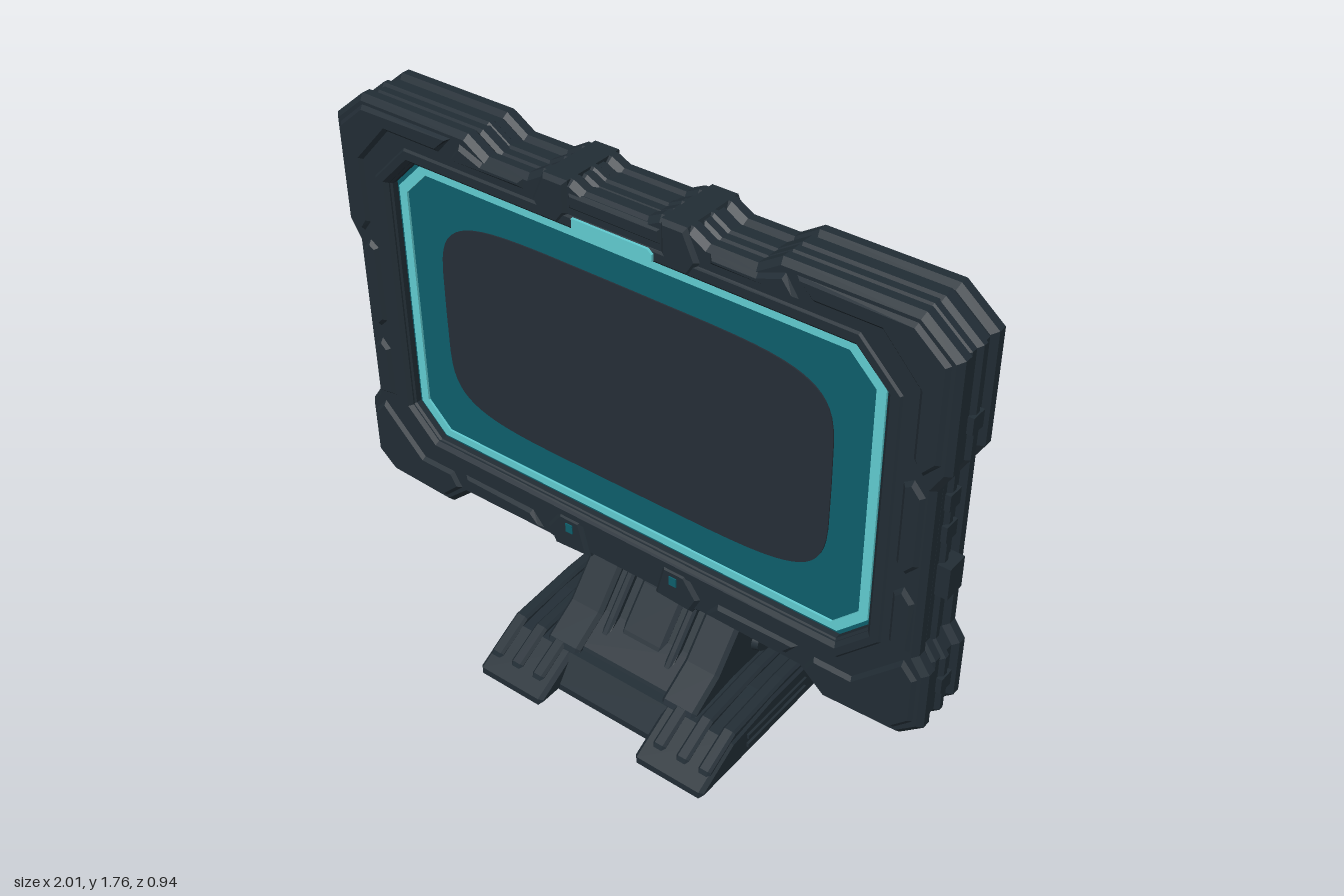
import * as THREE from 'three';

const mat = (name, color) => Object.assign(new THREE.MeshStandardMaterial({ color }), { name });

export function createModel() {
  const root = new THREE.Group();
  root.name = 'displayOnStand';
  const body = mat('darkSlate', 0x222d35);
  const glass = mat('screenGrey', 0x262e37);
  const teal = mat('deepTeal', 0x0e5f6c);
  const glow = mat('brightCyan', 0x62cdd2);

  const group = name => {
    const g = new THREE.Group();
    g.name = name;
    root.add(g);
    return g;
  };
  const add = (parent, name, geo, material = body) => {
    const m = new THREE.Mesh(geo, material);
    m.name = name;
    parent.add(m);
    return m;
  };
  const poly = pts => new THREE.Shape(pts.map(p => new THREE.Vector2(p[0], p[1])));
  const flip = pts => pts.map(([x, y]) => [-x, y]);
  const extrude = (shape, depth, bevel) => new THREE.ExtrudeGeometry(shape, {
    depth: depth - 2 * bevel, bevelEnabled: bevel > 0, bevelThickness: bevel,
    bevelSize: bevel, bevelOffset: -bevel, bevelSegments: 1,
  }).translate(0, 0, bevel);
  // Front-facing slab between two depths
  const slab = (shape, z0, z1, bevel = 0) => extrude(shape, z1 - z0, bevel).translate(0, 0, z0);
  // Side profile given as [z, y], spanning x0..x1
  const side = (pts, x0, x1, bevel = 0.012) => extrude(poly(pts), x1 - x0, bevel)
    .translate(0, 0, -(x1 - x0) / 2).rotateY(-Math.PI / 2).translate((x0 + x1) / 2, 0, 0);
  const box = (w, h, d, x, y, z) => new THREE.BoxGeometry(w, h, d).translate(x, y, z);
  // Chamfered rectangle around the screen centre
  const CY = 1.13;
  const chamfer = (w, h, c) => [[w, h - c], [w - c, h], [c - w, h], [-w, h - c],
    [-w, c - h], [c - w, -h], [w - c, -h], [w, c - h]].map(([x, y]) => [x, y + CY]);
  const ring = (outer, inner) => {
    const s = poly(outer);
    s.holes.push(poly(inner));
    return s;
  };

  // Screen, seen from both faces
  const screen = group('screen');
  add(screen, 'screenPanel', slab(poly(chamfer(0.83, 0.49, 0.1)), 0.105, 0.245), teal);
  add(screen, 'screenGlowBorder',
    slab(ring(chamfer(0.798, 0.46, 0.09), chamfer(0.77, 0.436, 0.08)), 0.098, 0.252), glow);
  const patch = [];
  for (let i = 0; i < 64; i++) {
    const a = i / 64 * Math.PI * 2, c = Math.cos(a), s = Math.sin(a);
    patch.push([0.66 * Math.sign(c) * Math.abs(c) ** 0.38, 1.135 + 0.335 * Math.sign(s) * Math.abs(s) ** 0.38]);
  }
  add(screen, 'screenCentre', slab(poly(patch), 0.101, 0.249), glass);

  // Frame: three stacked armour layers
  const frame = group('frame');
  const half = [[0.1, 1.725], [0.14, 1.745], [0.24, 1.745], [0.29, 1.715], [0.43, 1.715], [0.5, 1.76],
    [0.89, 1.76], [1, 1.67], [1, 1.34], [0.965, 1.28], [0.965, 0.74], [1, 0.69], [1, 0.5],
    [0.93, 0.44], [0.69, 0.43], [0.61, 0.5], [0.28, 0.505], [0.22, 0.49], [0.12, 0.51]];
  const outline = half.concat(flip(half).reverse());
  const opening = chamfer(0.81, 0.472, 0.095);
  const shrink = k => outline.map(([x, y]) => [x * k, CY + (y - CY) * k]);
  [[0.07, 0.128, 1], [0.12, 0.23, 0.988], [0.222, 0.28, 1]].forEach(([a, b, k]) =>
    add(frame, 'frameLayer', slab(ring(shrink(k), opening), a, b, 0.016)));
  add(frame, 'frameSpine', slab(ring(outline, opening), 0.155, 0.195, 0.012));
  add(frame, 'innerLip',
    slab(ring(chamfer(0.865, 0.525, 0.13), chamfer(0.815, 0.476, 0.095)), 0.064, 0.286, 0.012));

  // Raised plates on both faces of the frame, mirrored left and right
  const plates = {
    upperCorner: [[0.55, 1.735], [0.88, 1.735], [0.975, 1.655], [0.975, 1.37], [0.93, 1.32], [0.9, 1.36], [0.9, 1.56], [0.79, 1.68], [0.6, 1.68]],
    lowerCorner: [[0.975, 0.67], [0.975, 0.52], [0.92, 0.465], [0.7, 0.455], [0.63, 0.52], [0.66, 0.57], [0.78, 0.57], [0.9, 0.69], [0.93, 0.72]],
    sideStrip: [[0.945, 1.26], [0.945, 1.04], [0.91, 1.0], [0.88, 1.03], [0.88, 1.28], [0.91, 1.3]],
    lowerSideStrip: [[0.945, 0.75], [0.945, 0.92], [0.91, 0.96], [0.88, 0.93], [0.88, 0.76]],
    topStrip: [[0.3, 1.7], [0.44, 1.7], [0.52, 1.73], [0.56, 1.67], [0.3, 1.67]],
    topClamp: [[0.15, 1.745], [0.23, 1.745], [0.27, 1.66], [0.24, 1.61], [0.18, 1.61], [0.15, 1.65]],
    bottomStrip: [[0.3, 0.53], [0.57, 0.53], [0.61, 0.58], [0.34, 0.58]],
    bottomClamp: [[0.12, 0.51], [0.25, 0.5], [0.28, 0.56], [0.23, 0.63], [0.15, 0.63]],
  };
  for (const [name, pts] of Object.entries(plates))
    for (const p of [pts, flip(pts)]) add(frame, name, slab(poly(p), 0.059, 0.291, 0.012));
  for (const s of [-1, 1]) {
    add(frame, 'sideTab', box(0.05, 0.1, 0.07, s * 0.967, 0.95, 0.165));
    for (const y of [0.6, 1.1, 1.2, 1.45]) add(frame, 'sideRib', box(0.03, 0.05, 0.05, s * (y > 1 && y < 1.3 ? 0.955 : 0.99), y, 0.175));
    for (const z of [0.058, 0.292]) add(frame, 'statusDot', box(0.025, 0.03, 0.005, s * 0.19, 0.59, z), teal);
  }
  add(frame, 'topBridge', slab(poly([[-0.15, 1.715], [0.15, 1.715], [0.15, 1.665], [-0.15, 1.665]]), 0.064, 0.286, 0.01));
  const light = [[-0.13, 1.65], [0.115, 1.65], [0.13, 1.638], [0.13, 1.618], [-0.115, 1.612], [-0.13, 1.62]];
  for (const z of [0.056, 0.286]) add(frame, 'topLight', slab(poly(light), z, z + 0.008), glow);

  // Base
  const base = group('base');
  const wedge = [[0.47, 0.006], [0.47, 0.03], [0.32, 0.115], [0.12, 0.14], [-0.2, 0.14], [-0.28, 0.1], [-0.28, 0.006]];
  add(base, 'baseCentre', side(wedge.map(([z, y]) => [z > 0.4 ? z - 0.09 : z, y]), -0.2, 0.2));
  for (let i = -8; i <= 8; i++) add(base, 'undersideSlat', box(0.03, 0.012, 0.62, i * 0.048, 0.006, 0.05));
  for (const s of [-1, 1]) {
    const span = (a, b) => s > 0 ? [a, b] : [-b, -a];
    add(base, 'baseFoot', side(wedge, ...span(0.18, 0.43)));
    // Long ridges down each foot
    for (const x of [0.235, 0.32, 0.4])
      add(base, 'footRidge', side([[0.44, 0.02], [0.42, 0.07], [0.3, 0.135], [0.05, 0.155], [-0.1, 0.155], [-0.1, 0.05]], ...span(x - 0.022, x + 0.022), 0.008));
    for (const y of [0.05, 0.085])
      add(base, 'sideGroove', box(0.015, 0.015, 0.3, s * 0.43, y, 0.1));
    // Hinge rod ends
    for (const [r, x0, x1] of [[0.063, 0.36, 0.48], [0.05, 0.47, 0.495], [0.03, 0.49, 0.5]])
      add(base, 'hingeEnd', new THREE.CylinderGeometry(r, r, x1 - x0, 24).rotateZ(Math.PI / 2)
        .translate(s * (x0 + x1) / 2, 0.072, -0.172));
    add(base, 'hingeBlock', box(0.06, 0.1, 0.16, s * 0.4, 0.085, -0.2));
    // Oval pivot caps beside the column
    for (const [k, x] of [[1, 0.29], [0.6, 0.302]])
      add(base, 'pivotCap', new THREE.CylinderGeometry(0.05 * k, 0.056 * k, 0.03, 28).scale(1, 1, 1.7)
        .rotateZ(-s * Math.PI / 2).translate(s * x, 0.2, -0.06));
  }
  add(base, 'hingeRod', new THREE.CylinderGeometry(0.055, 0.055, 0.8, 24).rotateZ(Math.PI / 2).translate(0, 0.072, -0.225));

  // Column: flared side walls, recessed spine and trim
  const column = group('column');
  const flare = [[0.33, 0.09], [0.31, 0.13], [0.2, 0.2], [0.1, 0.32], [0.07, 0.37], [0.06, 0.52], [-0.16, 0.52],
    [-0.15, 0.31], [-0.26, 0.18], [-0.26, 0.09]];
  const arm = [[0.06, 0.48], [0.035, 0.65], [-0.04, 0.78], [-0.09, 0.9], [-0.31, 0.9], [-0.27, 0.78],
    [-0.2, 0.68], [-0.165, 0.58], [-0.16, 0.48]];
  const inset = (pts, d) => pts.map(([z, y]) => [z > -0.06 ? z - d : z + d, y]);
  add(column, 'columnCore', side(inset(flare, 0.025), -0.2, 0.2));
  add(column, 'neckSpine', side(inset(arm, 0.03), -0.18, 0.18));
  add(column, 'frontPanel', side([[0.25, 0.12], [0.2, 0.19], [0.1, 0.31], [0.065, 0.36], [0, 0.36], [0, 0.12]], -0.08, 0.08));
  add(column, 'frontLatch', side([[0.07, 0.37], [0.065, 0.48], [0, 0.48], [0, 0.37]], -0.045, 0.045, 0.01));
  for (const y of [0.3, 0.41, 0.52]) add(column, 'rearPanel', box(0.2, 0.07, 0.05, 0, y, -0.145));
  add(column, 'rearHatch', side([[-0.1, 0.12], [-0.1, 0.26], [-0.18, 0.26], [-0.265, 0.18], [-0.27, 0.12]], -0.12, 0.12));
  const windowShape = [[0, 0.5], [0, 0.565], [-0.045, 0.655], [-0.105, 0.735], [-0.13, 0.7], [-0.135, 0.5]];
  const windowGlow = [[0, 0.5], [0, 0.565], [-0.045, 0.655], [-0.1, 0.725], [-0.102, 0.5]];
  for (const s of [-1, 1]) {
    const span = (a, b) => s > 0 ? [a, b] : [-b, -a];
    add(column, 'lowerWall', side(flare, ...span(0.16, 0.285)));
    add(column, 'upperArm', side(arm, ...span(0.16, 0.27)));
    add(column, 'sideWindowEdge', side(windowShape, ...span(0.266, 0.273), 0), teal);
    add(column, 'sideWindow', side(windowGlow, ...span(0.268, 0.276), 0), glow);
    add(column, 'sidePlate', side([[0.01, 0.32], [0, 0.45], [-0.13, 0.45], [-0.12, 0.32]], ...span(0.27, 0.293), 0.008));
    add(column, 'sideSocket', box(0.015, 0.06, 0.05, s * 0.292, 0.38, -0.075));
    add(column, 'rearKnob', new THREE.CylinderGeometry(0.035, 0.035, 0.07, 16).rotateZ(Math.PI / 2).translate(s * 0.22, 0.535, -0.145));
    add(column, 'innerRail', side([[0.26, 0.13], [0.2, 0.205], [0.1, 0.325], [0.068, 0.37], [0.062, 0.5], [0, 0.5], [0, 0.13]], ...span(0.105, 0.135), 0.008));
    add(column, 'rearLightSlit', box(0.012, 0.06, 0.008, s * 0.155, 0.32, -0.153), teal);
  }

  // Head: rounded loft through horizontal sections [y, front z, back z, half width]
  const head = group('head');
  const rows = [[0.79, -0.1, -0.27, 0.19], [0.84, -0.08, -0.34, 0.23], [0.875, -0.01, -0.39, 0.26], [0.905, 0.03, -0.425, 0.28],
    [0.95, 0.01, -0.452, 0.29], [1.02, -0.035, -0.47, 0.293], [1.09, -0.06, -0.465, 0.285], [1.14, -0.07, -0.44, 0.265],
    [1.17, -0.077, -0.395, 0.24], [1.22, -0.09, -0.367, 0.215], [1.28, -0.12, -0.352, 0.19], [1.325, -0.155, -0.33, 0.155],
    [1.348, -0.19, -0.3, 0.1], [1.356, -0.24, -0.25, 0.01]];
  const N = 48, pos = [], idx = [];
  for (const [y, zf, zb, w] of rows)
    for (let i = 0; i < N; i++) {
      const a = i / N * Math.PI * 2, c = Math.cos(a), s = Math.sin(a);
      pos.push(w * Math.sign(s) * Math.abs(s) ** 0.65, y, (zf + zb) / 2 + (zf - zb) / 2 * Math.sign(c) * Math.abs(c) ** 0.65);
    }
  for (let r = 0; r < rows.length - 1; r++)
    for (let i = 0; i < N; i++) {
      const a = r * N + i, b = r * N + (i + 1) % N;
      idx.push(a, b, b + N, a, b + N, a + N);
    }
  for (let i = 1; i < N - 1; i++) {
    const t = (rows.length - 1) * N;
    idx.push(0, i + 1, i, t, t + i, t + i + 1);
  }
  const shell = new THREE.BufferGeometry();
  shell.setAttribute('position', new THREE.Float32BufferAttribute(pos, 3));
  shell.setIndex(idx);
  shell.computeVertexNormals();
  add(head, 'headShell', shell);
  // Oval window under the back of the head
  const oval = add(head, 'rearWindow', new THREE.CylinderGeometry(1, 1, 0.008, 32).rotateX(-Math.PI / 2).scale(0.1, 0.11, 1), teal);
  oval.position.set(0, 0.85, -0.353);
  oval.rotation.x = -0.78;
  return root;
}
